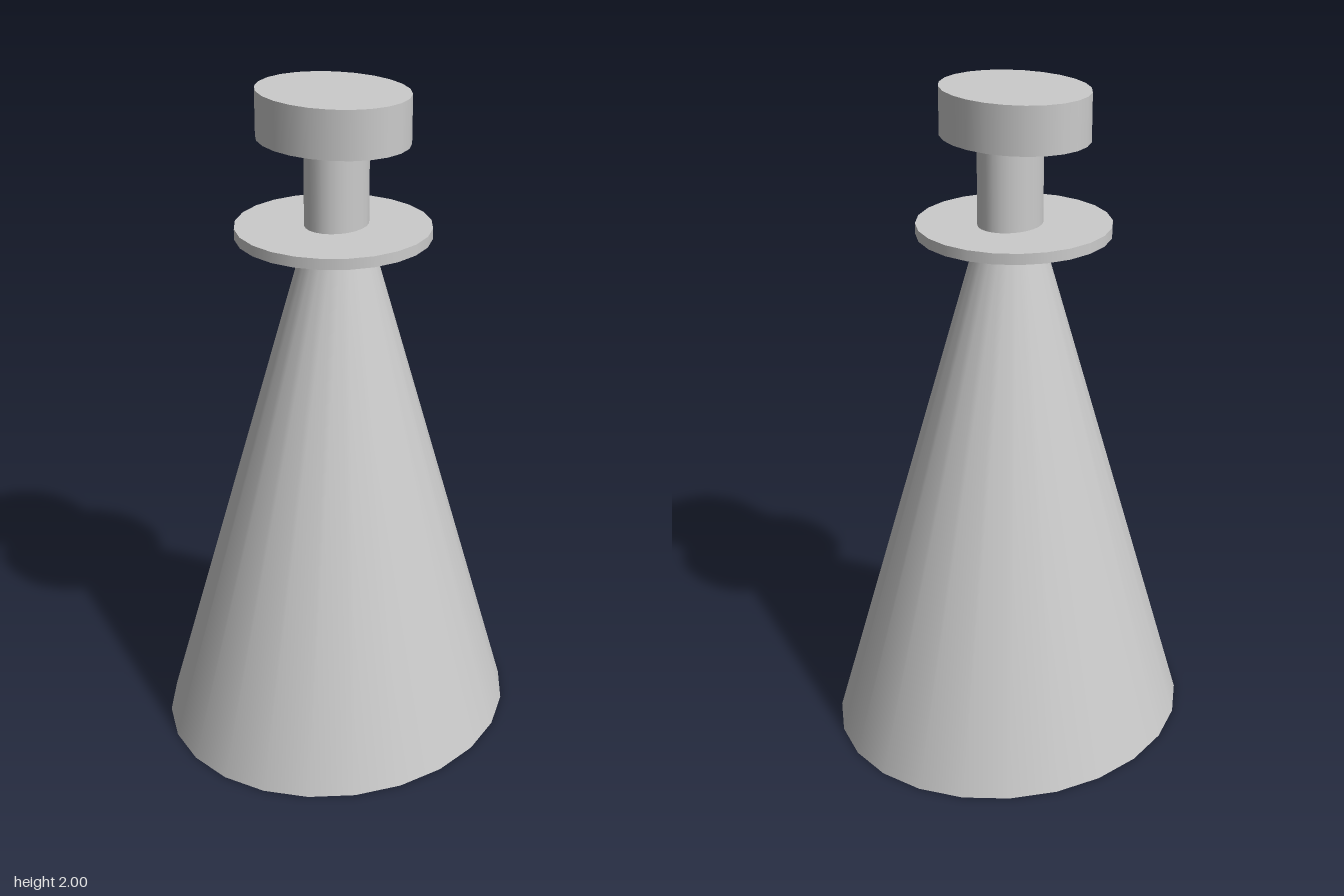
import * as THREE from 'three';

const material = new THREE.MeshStandardMaterial({ color: 0xcccccc });

// Elliptical drum or cone: x and z radii at the bottom, top taper, height range and x offset
function drum(name, rx, rz, taper, y0, y1, x = 0) {
  const geometry = new THREE.CylinderGeometry(taper, 1, y1 - y0, 24);
  geometry.scale(rx, 1, rz);
  const mesh = new THREE.Mesh(geometry, material);
  mesh.name = name;
  mesh.position.set(x, (y0 + y1) / 2, 0);
  return mesh;
}

export function createModel() {
  const group = new THREE.Group();
  group.name = 'conicalFlask';
  group.add(
    drum('body', 0.57, 0.518, 0.168, 0, 1.59),
    drum('collar', 0.285, 0.285, 1, 1.578, 1.61, -0.02),
    drum('neck', 0.103, 0.088, 1, 1.6, 1.87, -0.004),
    drum('cap', 0.195, 0.232, 1, 1.86, 2, -0.022),
  );
  return group;
}
